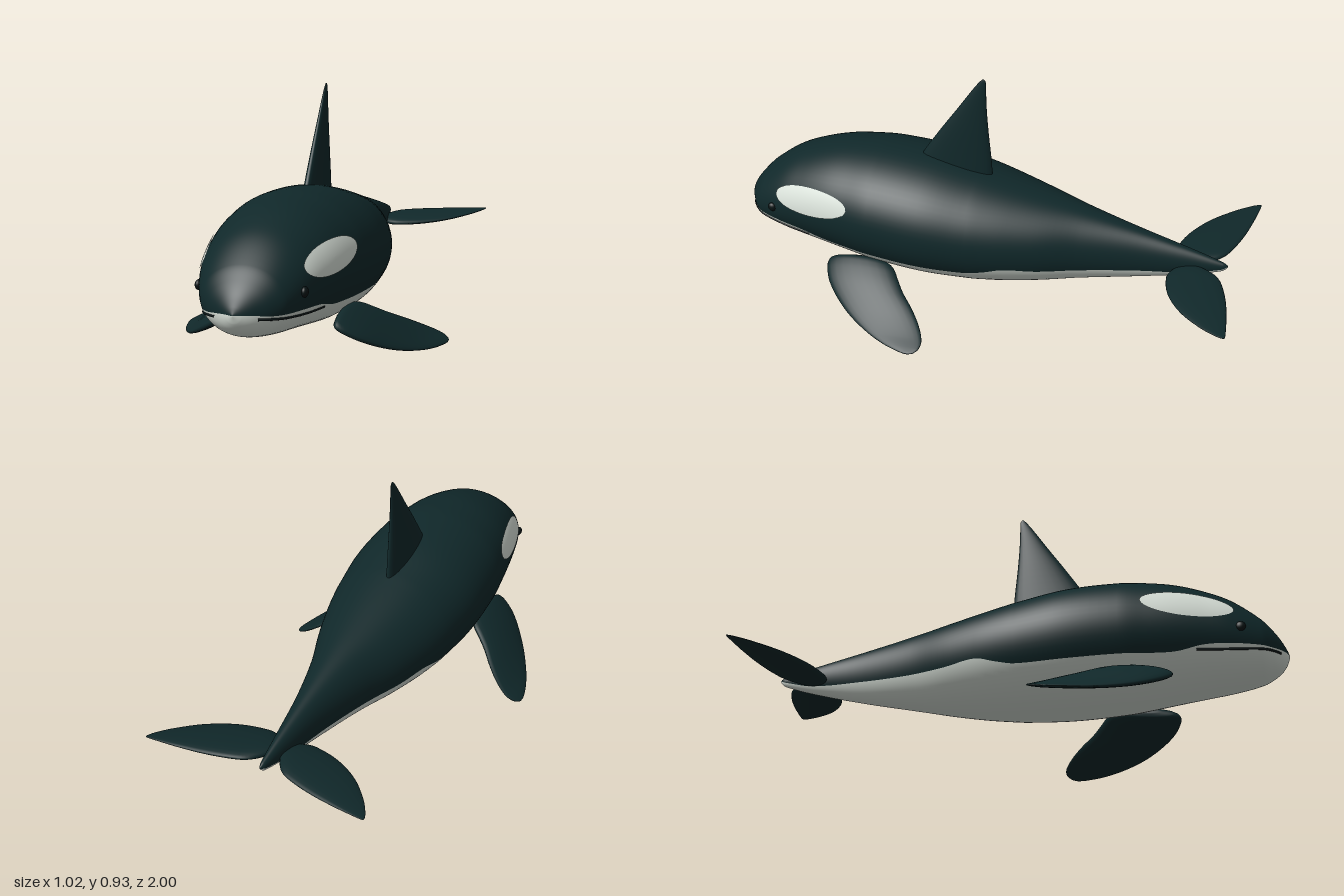
import * as THREE from 'three';

// Body stations: z, top, bottom, half width, height of the belly line
const BODY = [
  [-0.94, 0.312, 0.302, 0.003, 0.308], [-0.92, 0.322, 0.285, 0.012, 0.298],
  [-0.8, 0.355, 0.245, 0.033, 0.268], [-0.6, 0.402, 0.195, 0.07, 0.256],
  [-0.4, 0.447, 0.155, 0.125, 0.247], [-0.25, 0.48, 0.127, 0.183, 0.245],
  [-0.13, 0.507, 0.109, 0.222, 0.253], [-0.05, 0.525, 0.1, 0.243, 0.231],
  [0.02, 0.54, 0.094, 0.257, 0.216], [0.2, 0.572, 0.09, 0.28, 0.215],
  [0.4, 0.582, 0.1, 0.276, 0.221], [0.5, 0.575, 0.112, 0.262, 0.222],
  [0.6, 0.56, 0.126, 0.245, 0.228], [0.7, 0.53, 0.139, 0.223, 0.25],
  [0.8, 0.485, 0.152, 0.195, 0.256], [0.9, 0.41, 0.172, 0.15, 0.257],
  [0.94, 0.367, 0.189, 0.112, 0.258], [0.97, 0.328, 0.209, 0.068, 0.263],
  [0.99, 0.292, 0.235, 0.03, 0.266], [1.0, 0.268, 0.262, 0.002, 0.265],
];
// Fin stations: span position, leading z, trailing z, half thickness
const DORSAL = [
  [0.48, 0.31, -0.025, 0.034], [0.58, 0.255, -0.02, 0.028], [0.7, 0.178, -0.008, 0.021],
  [0.8, 0.11, 0, 0.014], [0.88, 0.057, 0.003, 0.008], [0.92, 0.028, 0.004, 0.004], [0.93, 0.018, 0.009, 0.002],
];
const FLIPPER = [
  [0.19, 0.5, 0.41, 0.01], [0.2, 0.565, 0.35, 0.022], [0.22, 0.585, 0.31, 0.026],
  [0.26, 0.573, 0.275, 0.026], [0.3, 0.545, 0.24, 0.024], [0.35, 0.49, 0.185, 0.02],
  [0.4, 0.42, 0.14, 0.015], [0.45, 0.33, 0.11, 0.01], [0.485, 0.25, 0.108, 0.007], [0.505, 0.185, 0.125, 0.004], [0.51, 0.16, 0.14, 0.002],
];
const FLUKE = [
  [0.014, -0.79, -0.82, 0.008], [0.025, -0.76, -0.855, 0.016], [0.06, -0.735, -0.905, 0.02],
  [0.1, -0.73, -0.932, 0.02], [0.2, -0.757, -0.965, 0.017], [0.3, -0.82, -0.985, 0.012],
  [0.38, -0.905, -0.996, 0.006], [0.42, -0.965, -1, 0.003], [0.43, -0.988, -0.999, 0.001],
];

// Smooth interpolation of a station table at its first column
function sample(table, s) {
  const n = table.length - 1;
  let i = 0;
  while (i < n - 1 && s > table[i + 1][0]) i++;
  const a = table[i], b = table[i + 1], h = b[0] - a[0];
  const t = THREE.MathUtils.clamp((s - a[0]) / h, 0, 1);
  const slope = (k, c) => {
    const p = table[Math.max(k - 1, 0)], q = table[Math.min(k + 1, n)];
    return (q[c] - p[c]) / (q[0] - p[0]);
  };
  return a.map((v, c) => {
    if (c === 0) return s;
    const t2 = t * t, t3 = t2 * t;
    return (2 * t3 - 3 * t2 + 1) * v + (3 * t2 - 2 * t3) * b[c]
      + h * ((t3 - 2 * t2 + t) * slope(i, c) + (t3 - t2) * slope(i + 1, c));
  });
}

// Positions along a table, with several steps between stations
function steps(table, count) {
  const out = [];
  for (let i = 0; i < table.length - 1; i++)
    for (let k = 0; k < count; k++) out.push(THREE.MathUtils.lerp(table[i][0], table[i + 1][0], k / count));
  out.push(table[table.length - 1][0]);
  return out;
}

// Skin closed rings of [x, y, z]; the first `split` columns form their own group
function skin(rings, flip = false, split = 0) {
  const cols = rings[0].length, parts = [[], []];
  for (let r = 0; r < rings.length - 1; r++) {
    for (let c = 0; c < cols; c++) {
      const d = (c + 1) % cols;
      const a = r * cols + c, b = r * cols + d, e = a + cols, f = b + cols;
      parts[c < split ? 0 : 1].push(...(flip ? [a, e, b, b, e, f] : [a, b, e, b, f, e]));
    }
  }
  const g = new THREE.BufferGeometry();
  g.setAttribute('position', new THREE.Float32BufferAttribute(rings.flat(2), 3));
  g.setIndex([...parts[0], ...parts[1]]);
  if (split) {
    g.addGroup(0, parts[0].length, 0);
    g.addGroup(parts[0].length, parts[1].length, 1);
  }
  g.computeVertexNormals();
  return g;
}

// Fin with lens-shaped sections; place(span, z, thickness, middle z) gives a point
function fin(table, place, flip) {
  const N = 24;
  const ring = (s, scale) => {
    const [, lead, trail, thick] = sample(table, s);
    const mid = (lead + trail) / 2, half = (lead - trail) / 2;
    return Array.from({ length: N }, (_, i) => {
      const a = (i / N) * Math.PI * 2;
      return place(s, mid + half * Math.cos(a) * scale, thick * Math.sin(a) * scale, mid);
    });
  };
  const rings = steps(table, 4).map((s) => ring(s, 1));
  rings.unshift(ring(table[0][0], 0.001));
  rings.push(ring(table[table.length - 1][0], 0.001));
  return skin(rings, flip);
}

// Half width of the body at a given height and z
function surfaceX(y, z) {
  const [, top, bottom, w] = sample(BODY, z);
  const u = (y - (top + bottom) / 2) / ((top - bottom) / 2);
  return w * Math.sqrt(Math.max(0, 1 - u * u));
}

export function createModel() {
  const material = (name, color) => Object.assign(new THREE.MeshStandardMaterial({ color }), { name });
  const dark = material('dark teal skin', 0x10282a);
  const pale = material('pale skin', 0xd9e1d9);
  const black = material('black', 0x081314);
  const model = new THREE.Group();
  model.name = 'whale';
  const add = (name, geometry, mat) => {
    const mesh = new THREE.Mesh(geometry, mat);
    mesh.name = name;
    model.add(mesh);
    return mesh;
  };

  // Body: elliptical sections, with the columns divided at the belly line
  const BELLY = 28, BACK = 44;
  const rings = steps(BODY, 6).map((z) => {
    const [, top, bottom, w, line] = sample(BODY, z);
    const cy = (top + bottom) / 2, r = (top - bottom) / 2;
    const edge = Math.acos(THREE.MathUtils.clamp((cy - line) / r, -0.95, 0.95));
    return Array.from({ length: BELLY + BACK }, (_, i) => {
      const a = i < BELLY ? edge * ((2 * i) / BELLY - 1)
        : edge + (2 * Math.PI - 2 * edge) * ((i - BELLY) / BACK);
      return [w * Math.sin(a), cy - r * Math.cos(a), z];
    });
  });
  for (const [i, z] of [[0, -0.941], [rings.length - 1, 1]]) {
    const cap = rings[i].map(() => [0, i ? 0.265 : 0.307, z]);
    if (i) rings.push(cap); else rings.splice(0, 1, cap);
  }
  add('body', skin(rings, false, BELLY), [pale, dark]);

  add('dorsalFin', fin(DORSAL, (s, z, t) => [t, s, z], false), dark);

  for (const side of [1, -1]) {
    const label = side > 0 ? 'left' : 'right';

    // Flippers slope outward and down, trailing edge raised
    add(label + 'Flipper', fin(FLIPPER, (s, z, t, mid) => {
      const u = (s - 0.19) / 0.32;
      const y = 0.166 - 0.158 * u - 0.022 * Math.sin(Math.PI * u) * u + 0.1 * (mid - z) + t;
      return [side * (s + t * 0.45), Math.max(y, 0), z];
    }, side > 0), dark);

    // Tail flukes rise slightly toward the back
    add(label + 'Fluke', fin(FLUKE, (s, z, t) =>
      [side * s, 0.276 + (-0.73 - z) * 0.13 + 0.02 * s * s / 0.18 * 0.4 + t, z], side > 0), dark);

    // Eye patch: tilted oval laid on the body
    const patch = [];
    for (let r = 0; r <= 10; r++) {
      patch.push(Array.from({ length: 48 }, (_, i) => {
        const a = (i / 48) * Math.PI * 2, q = Math.max(r / 10, 0.001);
        const dz = 0.165 * q * Math.cos(a), dy = 0.053 * q * Math.sin(a);
        const z = 0.645 + dz, y = 0.4 + dy - 0.1 * dz;
        return [side * (surfaceX(y, z) + 0.004), y + 0.002, z];
      }));
    }
    add(label + 'EyePatch', skin(patch, side < 0), pale);

    // Eye
    const eye = add(label + 'Eye', new THREE.SphereGeometry(0.018, 20, 14), black);
    eye.scale.set(0.7, 1, 1);
    eye.position.set(side * surfaceX(0.318, 0.83), 0.318, 0.83);

    // Mouth line
    const mouth = Array.from({ length: 14 }, (_, i) => {
      const u = i / 13, z = 0.965 - 0.295 * u;
      const y = 0.25 - 0.016 * Math.sin(u * Math.PI / 2);
      return new THREE.Vector3(side * surfaceX(y, z), y, z);
    });
    add(label + 'Mouth', new THREE.TubeGeometry(new THREE.CatmullRomCurve3(mouth), 40, 0.0045, 8), black);
  }
  return model;
}
